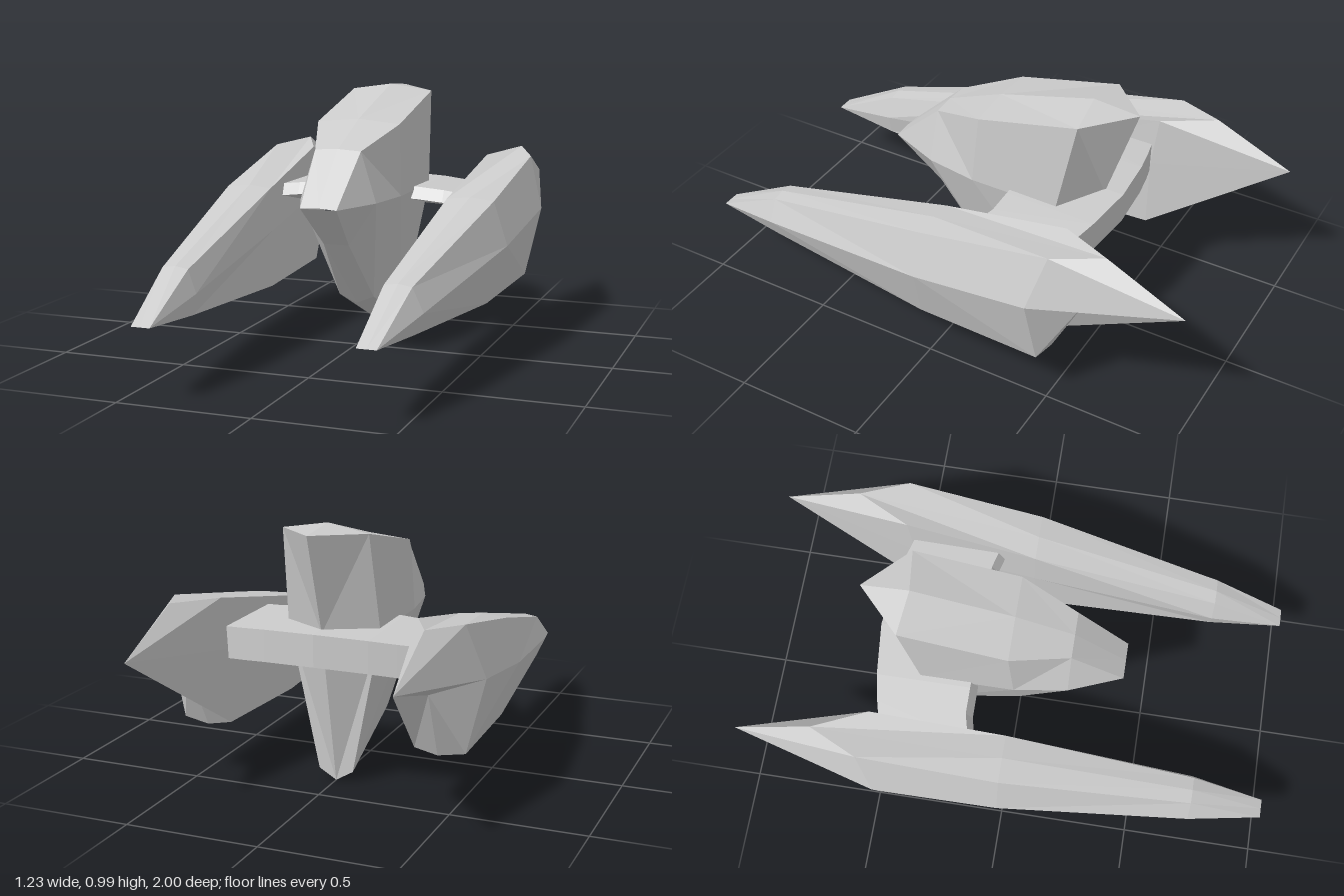
import * as THREE from 'three';

const material = new THREE.MeshStandardMaterial({ color: 0xcccccc, flatShading: true });

// Skins a run of cross-sections; side -1 gives the mirror image in x.
function loft(rings, closed, side) {
  const positions = [];
  const tri = (a, b, c) => {
    const [p, q, r] = [a, b, c].map((v) => new THREE.Vector3(v[0] * side, v[1], v[2]));
    const area = q.clone().sub(p).cross(r.clone().sub(p)).length();
    if (area < 1e-7) return; // collapsed corner
    for (const v of side > 0 ? [p, q, r] : [p, r, q]) positions.push(v.x, v.y, v.z);
  };
  const n = rings[0].length;
  for (let i = 0; i < rings.length - 1; i++) {
    for (let j = 0; j < (closed ? n : n - 1); j++) {
      const k = (j + 1) % n;
      tri(rings[i][j], rings[i][k], rings[i + 1][k]);
      tri(rings[i][j], rings[i + 1][k], rings[i + 1][j]);
    }
  }
  const geometry = new THREE.BufferGeometry();
  geometry.setAttribute('position', new THREE.Float32BufferAttribute(positions, 3));
  geometry.computeVertexNormals();
  return geometry;
}

// Half of the central pod: ridge, top edge, belt, keel edge, keel; nose to stern
const nose = [0.07, 0.6, 0.4];
const podRings = [
  [[0, 0.605, 0.4], nose, nose, nose, [0, 0.6, 0.4]],
  [[0, 0.795, 0.2], [0.09, 0.79, 0.2], [0.15, 0.6, 0.2], [0.05, 0.44, 0.22], [0, 0.44, 0.22]],
  [[0, 0.885, -0.02], [0.165, 0.87, -0.02], [0.18, 0.6, 0], [0.07, 0.2, 0], [0, 0.17, 0]],
  [[0, 0.99, -0.4], [0.165, 0.965, -0.42], [0.18, 0.6, -0.35], [0.067, 0.045, -0.34], [0, 0.005, -0.34]],
  [[0, 0.975, -0.58], [0, 0.975, -0.58], [0, 0.6, -0.46], [0, 0.005, -0.34], [0, 0.005, -0.34]],
];

// Side hull: top, outer top, outer belt, outer bottom, bottom, inner bottom, inner belt, inner top
const tipOut = [0.435, 0.275, 1];
const tipMid = [0.4, 0.275, 1];
const tipIn = [0.365, 0.275, 1];
const spike = [0.48, 0.585, -1];
const sternRidge = [0.46, 0.475, -0.62];
const hullRings = [
  [tipMid, tipOut, tipOut, tipOut, tipMid, tipIn, tipIn, tipIn],
  [[0.41, 0.428, 0.72], [0.46, 0.42, 0.72], [0.5, 0.335, 0.72], [0.465, 0.257, 0.72],
    [0.41, 0.25, 0.72], [0.345, 0.257, 0.72], [0.33, 0.335, 0.72], [0.36, 0.42, 0.72]],
  [[0.45, 0.61, 0], [0.542, 0.6, 0], [0.596, 0.435, 0], [0.525, 0.215, 0.02],
    [0.435, 0.2, 0.04], [0.347, 0.215, 0.02], [0.35, 0.435, 0], [0.36, 0.6, 0]],
  [[0.473, 0.722, -0.7], [0.555, 0.705, -0.52], [0.615, 0.505, -0.465], [0.55, 0.23, -0.48],
    [0.45, 0.215, -0.49], [0.36, 0.23, -0.48], [0.365, 0.51, -0.48], [0.378, 0.705, -0.5]],
  [spike, spike, spike, sternRidge, sternRidge, sternRidge, spike, spike],
];

// Wing section at x: rear top, front top, front bottom, rear bottom
const wingSection = (x, rise, front, rear) => [
  [x, 0.595 + rise, rear], [x, 0.6 + rise, front - 0.025],
  [x, 0.555 + rise, front], [x, 0.475 + rise, rear],
];
const wingRings = [
  wingSection(0, 0.02, -0.135, -0.535),
  wingSection(0.2, 0.013, -0.135, -0.515),
  wingSection(0.3, 0.005, -0.135, -0.495),
  wingSection(0.4, -0.003, -0.11, -0.47),
];

export function createModel() {
  const model = new THREE.Group();
  model.name = 'spacecraft';
  for (const side of [1, -1]) {
    const label = side > 0 ? 'left' : 'right';
    const add = (part, rings, closed) => {
      const mesh = new THREE.Mesh(loft(rings, closed, side), material);
      mesh.name = label + part;
      model.add(mesh);
    };
    add('PodHalf', podRings, false);
    add('Hull', hullRings, true);
    add('Wing', wingRings, true);
  }
  return model;
}
